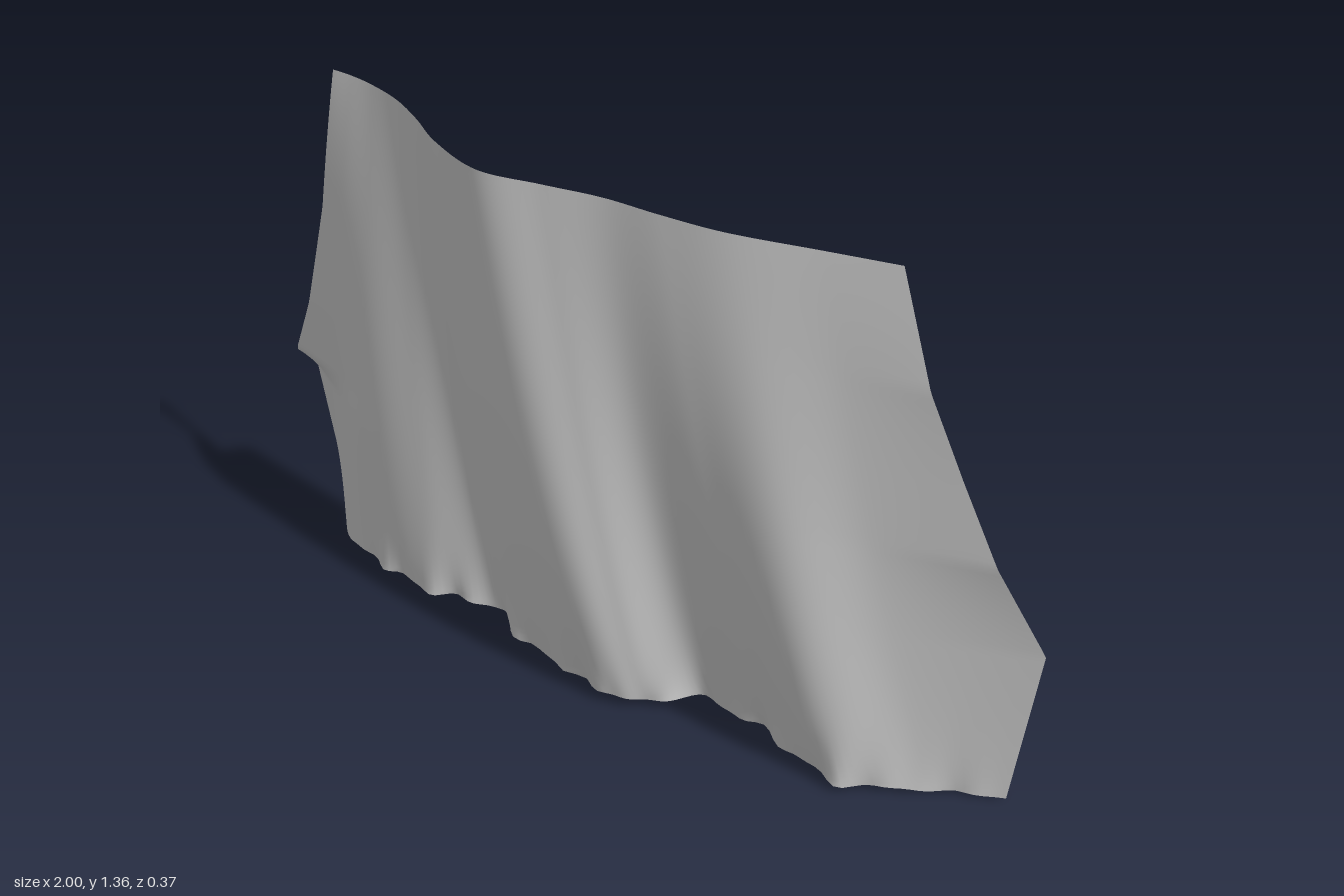
import * as THREE from 'three';

const HEIGHT = 1.36;
const { lerp, clamp } = THREE.MathUtils;

// Fold lines: [x, z] at the top edge, [x, z] at the hem, and how late the fold swings back
const folds = [
  [-.69, -.028, -.89, -.1, 1.7],
  [-.62, -.015, -.72, -.03, 1.7],
  [-.53, .015, -.52, 0, 1.7],
  [-.44, .065, -.36, -.035, 1.7],
  [-.34, .13, -.26, .025, 2],
  [-.2, .183, .02, .085, 3],
  [-.06, .163, .13, .06, 2.4],
  [.07, .142, .24, -.02, 1.7],
  [.2, .14, .42, 0, 2],
  [.34, .13, .62, .05, 3],
  [.52, .09, .8, -.05, 1.8],
];

// Side outlines from the hem upward: [y, x, z]
const leftEdge = [[0, -.945, -.19], [.46, -1, -.168], [.53, -1, -.1], [.7, -.92, -.075], [1, -.82, -.05], [1.36, -.74, -.03]];
const rightEdge = [[0, .95, -.13], [.46, 1, -.09], [.7, .9, -.01], [.9, .82, .02], [1.1, .745, .05], [1.36, .67, .057]];

function edgePoint(edge, y) {
  let i = 1;
  while (i < edge.length - 1 && y > edge[i][0]) i++;
  const [a, b] = [edge[i - 1], edge[i]];
  const f = (y - a[0]) / (b[0] - a[0]);
  return new THREE.Vector2(lerp(a[1], b[1], f), lerp(a[2], b[2], f));
}

// Horizontal section (x, z) of the cloth at height fraction t
function section(t) {
  const inner = folds.map(([topX, topZ, hemX, hemZ, ease]) =>
    new THREE.Vector2(lerp(hemX, topX, t), lerp(topZ, hemZ, Math.pow(1 - t, ease))));
  return new THREE.SplineCurve([edgePoint(leftEdge, t * HEIGHT), ...inner, edgePoint(rightEdge, t * HEIGHT)]);
}

function clothGeometry(nu, nv) {
  const geo = new THREE.PlaneGeometry(1, 1, nu, nv);
  const pos = geo.attributes.position;
  for (let j = 0; j <= nv; j++) {
    const t = 1 - j / nv;
    const curve = section(t);
    for (let i = 0; i <= nu; i++) {
      const { x, y: depth } = curve.getPoint(i / nu);
      // Soft swelling of the left fold and small ripples near the hem
      const swell = .03 * Math.sin(Math.PI * t) * Math.exp(-(((x + .65) / .15) ** 2));
      const hem = Math.exp(-t * 20) * (1 - Math.min(1, Math.abs(x) / .95) ** 6);
      const ripple = hem * (.009 * Math.sin(x * 43) + .005 * Math.sin(x * 71 + 1));
      // Uneven hem height and a slightly sloping top edge
      const lift = .032 * (1 - Math.min(1, Math.abs(x) / .95) ** 3) + .004 * hem * Math.sin(x * 37);
      const slope = .02 * clamp((x + .74) / 1.41, 0, 1) * t * t;
      pos.setXYZ(j * (nu + 1) + i, x, t * HEIGHT + lift * (1 - t) ** 4 - slope, depth + swell + ripple);
    }
  }
  geo.computeVertexNormals();
  return geo;
}

export function createModel() {
  const group = new THREE.Group();
  group.name = 'drapedCloth';
  const material = new THREE.MeshStandardMaterial({ color: 0xcccccc, side: THREE.DoubleSide });
  const cloth = new THREE.Mesh(clothGeometry(120, 80), material);
  cloth.name = 'clothSheet';
  group.add(cloth);
  return group;
}
